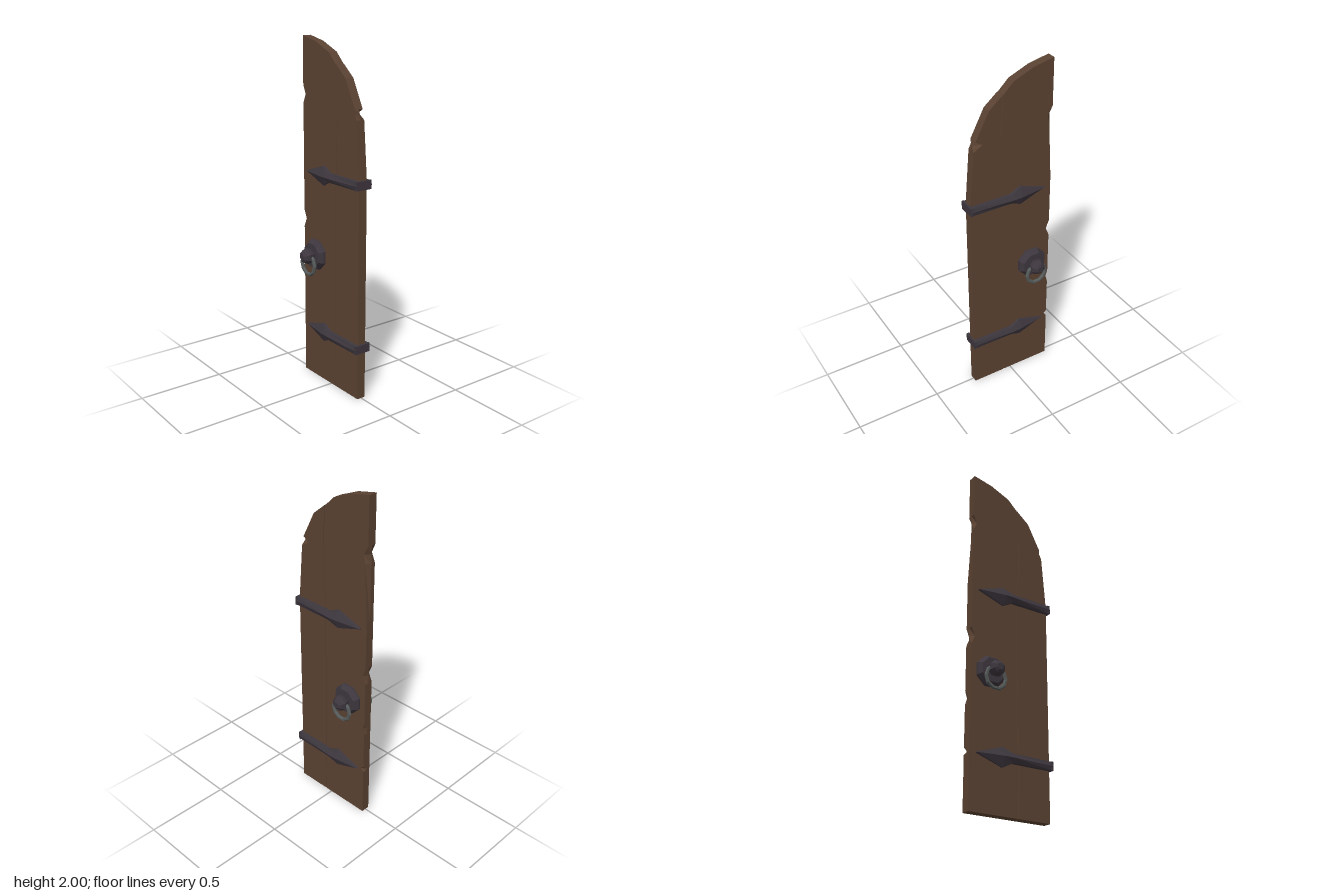
import * as THREE from 'three';

const wood = new THREE.MeshStandardMaterial({ color: 0x5a4232 });
wood.name = 'dark wood';
const iron = new THREE.MeshStandardMaterial({ color: 0x3d363e });
iron.name = 'dark iron';
const steel = new THREE.MeshStandardMaterial({ color: 0x555b5a });
steel.name = 'ring steel';

// Faceted normals
function facet(geometry) {
  const g = geometry.index ? geometry.toNonIndexed() : geometry;
  g.computeVertexNormals();
  return g;
}

function part(name, geometry, material) {
  const mesh = new THREE.Mesh(facet(geometry), material);
  mesh.name = name;
  return mesh;
}

// Skin a stack of closed outlines [[x, y], ...] placed at rising z, with end caps
function loft(outlines, zs) {
  const rings = outlines.map(o => o.map(([x, y]) => new THREE.Vector2(x, y)));
  if (THREE.ShapeUtils.isClockWise(rings[0])) rings.forEach(r => r.reverse());
  const n = rings[0].length, last = rings.length - 1;
  const positions = [], index = [];
  rings.forEach((r, k) => r.forEach(p => positions.push(p.x, p.y, zs[k])));
  for (let k = 0; k < last; k++) {
    for (let i = 0; i < n; i++) {
      const a = k * n + i, b = k * n + (i + 1) % n;
      index.push(a, b, b + n, a, b + n, a + n);
    }
  }
  for (const [a, b, c] of THREE.ShapeUtils.triangulateShape(rings[0], [])) index.push(c, b, a);
  for (const [a, b, c] of THREE.ShapeUtils.triangulateShape(rings[last], [])) {
    index.push(a + last * n, b + last * n, c + last * n);
  }
  const g = new THREE.BufferGeometry();
  g.setAttribute('position', new THREE.Float32BufferAttribute(positions, 3));
  g.setIndex(index);
  return g;
}

// Plank corners: x, y, then sideways shift on the back face and on the front face (chips)
function plank(name, corners) {
  const layer = k => corners.map(c => [c[0] + (k ? c[k] || 0 : 0), c[1]]);
  return part(name, loft([layer(2), layer(0), layer(3)], [-0.026, 0, 0.026]), wood);
}

// Seam between the planks, grooved on both faces
const seam = [[0.044, 0], [0.043, 0.45], [0.041, 0.8], [0.043, 1.25], [0.058, 1.64], [0.043, 1.866]];
const groove = 0.002;

// Arrow-headed strap: stations of x, half height, shoulder depth, ridge depth
const stations = [
  [-0.22, 0.003, 0.03, 0.036],
  [-0.06, 0.056, 0.035, 0.06],
  [0, 0.025, 0.048, 0.062],
  [0.257, 0.025, 0.045, 0.052],
];

function strap(side) {
  const outlines = stations.map(([, h, shoulder, ridge]) =>
    [[0.02, h], [shoulder, h], [ridge, 0], [shoulder, -h], [0.02, -h]].map(([z, y]) => [-side * z, y]));
  const g = loft(outlines, stations.map(s => s[0]));
  g.rotateY(Math.PI / 2);
  return part(side > 0 ? 'frontStrap' : 'backStrap', g, iron);
}

function hinge(y) {
  const group = new THREE.Group();
  group.name = 'hinge';
  group.add(strap(1), strap(-1));
  const wrap = part('hingeEdge', new THREE.BoxGeometry(0.014, 0.05, 0.1), iron);
  wrap.position.x = 0.25;
  group.add(wrap);
  group.position.y = y;
  return group;
}

// Eight-sided turned piece with its axis along z
function turned(name, profile, sides) {
  const g = new THREE.LatheGeometry(profile.map(([r, z]) => new THREE.Vector2(r, z)), sides, Math.PI / sides);
  g.rotateX(Math.PI / 2);
  return part(name, g, iron);
}

function knocker(side) {
  const group = new THREE.Group();
  group.name = side > 0 ? 'frontKnocker' : 'backKnocker';
  group.add(turned('backPlate', [[0.092, 0.024], [0.092, 0.04], [0.074, 0.066], [0, 0.067]], 8));
  group.add(turned('knob',
    [[0.034, 0.064], [0.043, 0.08], [0.046, 0.1], [0.036, 0.12], [0.02, 0.131], [0, 0.131]], 8));
  const ring = part('ring', new THREE.TorusGeometry(0.062, 0.011, 6, 10), steel);
  ring.position.set(0, -0.05, 0.086);
  group.add(ring);
  group.position.set(-0.14, 0.768, 0);
  if (side < 0) group.rotation.y = Math.PI;
  return group;
}

export function createModel() {
  const door = new THREE.Group();
  door.name = 'door';

  // Tall plank with a chipped free edge
  door.add(plank('tallPlank', [
    [-0.26, 0],
    ...seam.map(([x, y]) => [x, y, -groove, -groove]),
    [-0.02, 1.925], [-0.14, 1.975], [-0.26, 2],
    [-0.26, 1.73], [-0.26, 1.68, 0.03, 0.022], [-0.26, 1.63, 0.018, 0], [-0.26, 1.3],
    [-0.26, 1.01], [-0.26, 0.96, 0.02, 0.022], [-0.26, 0.91],
    [-0.26, 0.65], [-0.26, 0.61, 0.012, 0], [-0.26, 0.57],
    [-0.26, 0.34], [-0.26, 0.32, 0.02, 0], [-0.26, 0.3],
  ]));

  // Short plank under the falling arch, chipped at the shoulder
  door.add(plank('shortPlank', [
    ...seam.map(([x, y]) => [x, y, groove, groove]).reverse(),
    [0.246, 0], [0.246, 1.27], [0.219, 1.59],
    [0.216, 1.62, -0.05, -0.012], [0.206, 1.645], [0.125, 1.8],
  ].reverse()));

  for (const y of [0.308, 1.248]) door.add(hinge(y));
  for (const side of [1, -1]) door.add(knocker(side));
  return door;
}
